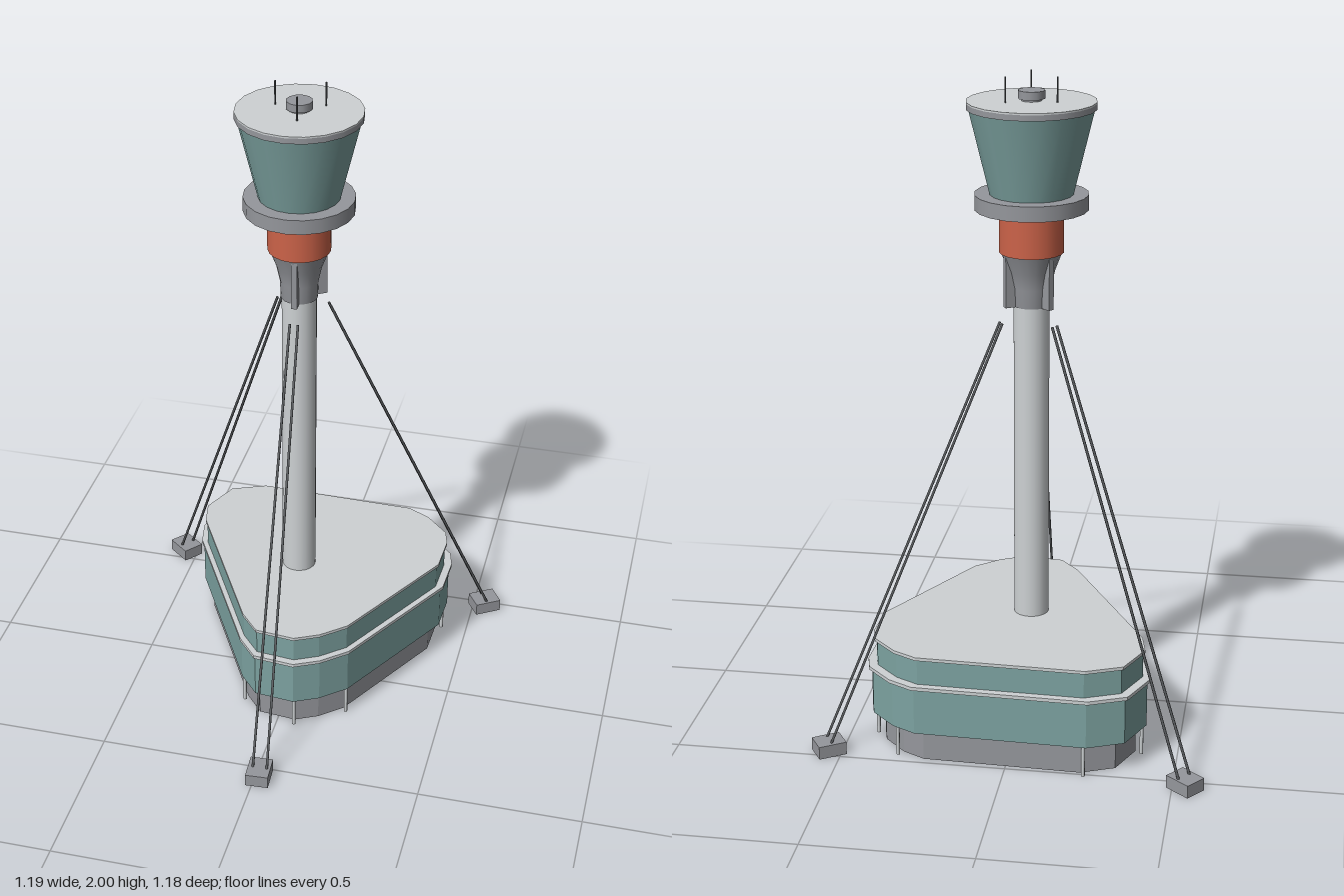
import * as THREE from 'three';

const mat = (name, color, side = THREE.FrontSide) => {
  const m = new THREE.MeshStandardMaterial({ color, side });
  m.name = name;
  return m;
};

// Rounded-triangle plan of the building, as [x, z]
const PLAN = [
  [-0.248, -0.528], [0.274, -0.513], [0.347, -0.475], [0.423, -0.398], [0.438, -0.341],
  [0.433, -0.211], [0.211, 0.189], [0.134, 0.256], [0.058, 0.294], [-0.07, 0.281],
  [-0.133, 0.208], [-0.397, -0.275], [-0.413, -0.358], [-0.359, -0.481],
];
const CX = 0.01, CZ = -0.123;
const plan = (s) => PLAN.map(([x, z]) => [CX + (x - CX) * s, CZ + (z - CZ) * s]);

// Solid slab following the plan
function slab(s, y0, y1) {
  const shape = new THREE.Shape(plan(s).map(([x, z]) => new THREE.Vector2(x, -z)));
  const g = new THREE.ExtrudeGeometry(shape, { depth: y1 - y0, bevelEnabled: false });
  return g.rotateX(-Math.PI / 2).translate(0, y0, 0);
}

// Open wall band following the plan
function wall(s, y0, y1) {
  const p = plan(s), v = [];
  p.forEach(([ax, az], i) => {
    const [bx, bz] = p[(i + 1) % p.length];
    v.push(ax, y0, az, ax, y1, az, bx, y1, bz, ax, y0, az, bx, y1, bz, bx, y0, bz);
  });
  const g = new THREE.BufferGeometry();
  g.setAttribute('position', new THREE.Float32BufferAttribute(v, 3));
  g.computeVertexNormals();
  return g;
}

// Cylinder between two heights
const drum = (rBottom, rTop, y0, y1, sides = 20) =>
  new THREE.CylinderGeometry(rTop, rBottom, y1 - y0, sides).translate(0, (y0 + y1) / 2, 0);

// Thin rod between two points
function rod(a, b, r) {
  const A = new THREE.Vector3(...a), B = new THREE.Vector3(...b);
  const d = B.clone().sub(A);
  const g = new THREE.CylinderGeometry(r, r, d.length(), 6);
  g.applyQuaternion(new THREE.Quaternion().setFromUnitVectors(new THREE.Vector3(0, 1, 0), d.normalize()));
  return g.translate(...A.add(B).multiplyScalar(0.5).toArray());
}

export function createModel() {
  const root = new THREE.Group();
  root.name = 'controlTower';
  const pale = mat('paleGrey', 0xced2d4);
  const grey = mat('midGrey', 0x95979c, THREE.DoubleSide);
  const teal = mat('tealGlass', 0x7da3a1, THREE.DoubleSide);
  const orange = mat('orangeBand', 0xcc6349);
  const dark = mat('darkCable', 0x56595c);
  const add = (parent, name, geometry, material) => {
    const m = new THREE.Mesh(geometry, material);
    m.name = name;
    parent.add(m);
    return m;
  };

  // Base building: two glazed storeys over a recessed plinth
  const building = new THREE.Group();
  building.name = 'building';
  root.add(building);
  add(building, 'plinthWall', wall(0.905, 0, 0.11), grey);
  add(building, 'lowerStorey', wall(0.985, 0.1, 0.25), teal);
  add(building, 'ledge', slab(1.006, 0.245, 0.256), pale);
  add(building, 'upperStorey', wall(0.95, 0.256, 0.335), teal);
  add(building, 'roof', slab(0.965, 0.335, 0.345), pale);
  plan(0.95).forEach(([x, z], i) => {
    if (i % 2 === 0) add(building, 'column', rod([x, 0, z], [x, 0.11, z], 0.006), pale);
  });

  // Tower on its own axis
  const tower = new THREE.Group();
  tower.name = 'tower';
  tower.position.set(-0.024, 0, -0.118);
  root.add(tower);
  add(tower, 'mast', drum(0.053, 0.053, 0.34, 1.33), pale);
  const flare = [[0.05, 1.325], [0.056, 1.325], [0.058, 1.38], [0.069, 1.43], [0.09, 1.486]];
  add(tower, 'flare', new THREE.LatheGeometry(flare.map(([r, y]) => new THREE.Vector2(r, y)), 20), grey);
  add(tower, 'collar', drum(0.095, 0.095, 1.485, 1.595), orange);
  add(tower, 'balconyUnderside', drum(0.095, 0.166, 1.595, 1.613), grey);
  add(tower, 'balcony', drum(0.166, 0.166, 1.613, 1.658), grey);
  add(tower, 'cabGlass', drum(0.122, 0.182, 1.658, 1.907), teal);
  add(tower, 'cabRim', drum(0.188, 0.188, 1.905, 1.922), grey);
  add(tower, 'cabRoof', drum(0.188, 0.188, 1.922, 1.927), pale);
  add(tower, 'ventNeck', drum(0.03, 0.03, 1.926, 1.937, 12), grey);
  add(tower, 'ventCap', drum(0.039, 0.039, 1.933, 1.957, 12), grey);
  for (const [x, z] of [[-0.077, -0.022], [0.068, -0.045], [0.012, 0.076]])
    add(tower, 'antenna', rod([x, 1.925, z], [x, 2, z], 0.0025), dark);

  // Three stays: bracket on the mast, a pair of cables, a ground anchor
  const stays = [
    { block: [0.014, 0.543], cables: [[-0.029, -0.02, -0.006, 0.543], [-0.004, -0.02, 0.038, 0.543]] },
    { block: [-0.538, -0.538], cables: [[-0.095, -0.19, -0.52, -0.555], [-0.106, -0.173, -0.549, -0.52]] },
    { block: [0.538, -0.475], cables: [[0.053, -0.178, 0.527, -0.492], [0.063, -0.16, 0.549, -0.454]] },
  ];
  for (const { block: [bx, bz], cables } of stays) {
    const angle = Math.atan2(bx + 0.024, bz + 0.118);
    const bracket = new THREE.BoxGeometry(0.018, 0.16, 0.045).translate(0, 1.405, 0.063);
    add(tower, 'stayBracket', bracket.rotateY(angle), grey);
    const block = add(root, 'groundAnchor', new THREE.BoxGeometry(0.07, 0.04, 0.086), grey);
    block.position.set(bx, 0.02, bz);
    block.rotation.y = angle;
    for (const [x0, z0, x1, z1] of cables)
      add(root, 'stayCable', rod([x0, 1.28, z0], [x1, 0.038, z1], 0.0042), dark);
  }
  return root;
}
